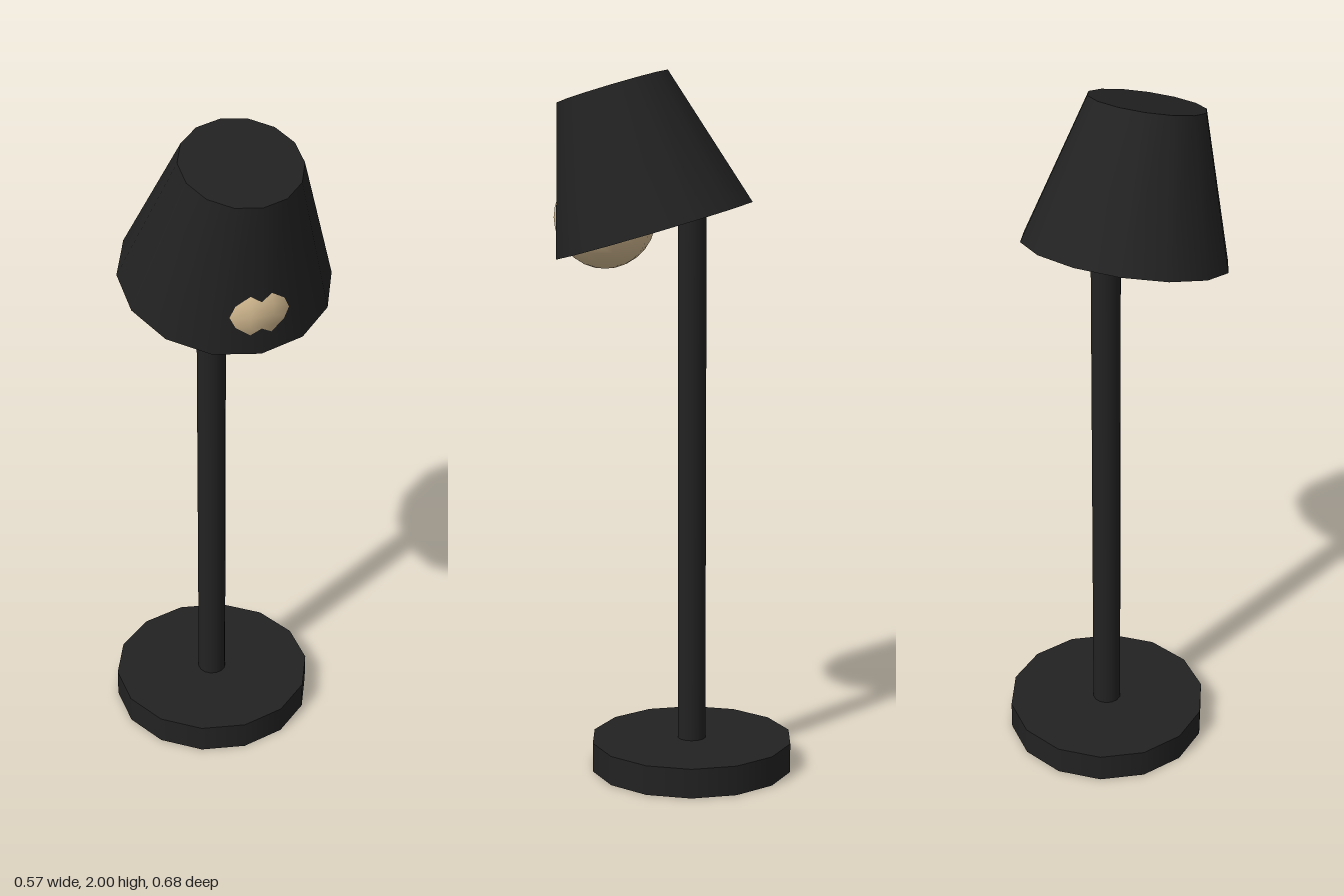
import * as THREE from 'three';

export function createModel() {
  const model = new THREE.Group();
  model.name = 'deskLamp';

  const black = new THREE.MeshStandardMaterial({ color: 0x222222 });
  black.name = 'matte black';
  const warm = new THREE.MeshStandardMaterial({ color: 0xd8be94 });
  warm.name = 'warm bulb';

  const SIDES = 14;
  const STAND_Z = -0.05;

  function add(name, geometry, material, y, z, tilt = 0) {
    const mesh = new THREE.Mesh(geometry, material);
    mesh.name = name;
    mesh.position.set(0, y, z);
    mesh.rotation.x = tilt;
    model.add(mesh);
  }

  // Round foot and upright pole
  add('base', new THREE.CylinderGeometry(0.2915, 0.2915, 0.085, SIDES), black, 0.0425, STAND_Z);
  add('pole', new THREE.CylinderGeometry(0.041, 0.041, 1.57, SIDES), black, 0.845, STAND_Z);

  // Closed shade tipped towards the front
  add('shade', new THREE.CylinderGeometry(0.1645, 0.2915, 0.415, SIDES), black, 1.754, 0.1175, 0.293);

  // Bulb, slightly poking through the front of the shade
  add('bulb', new THREE.SphereGeometry(0.144, SIDES, 14), warm, 1.588, 0.202);

  return model;
}
